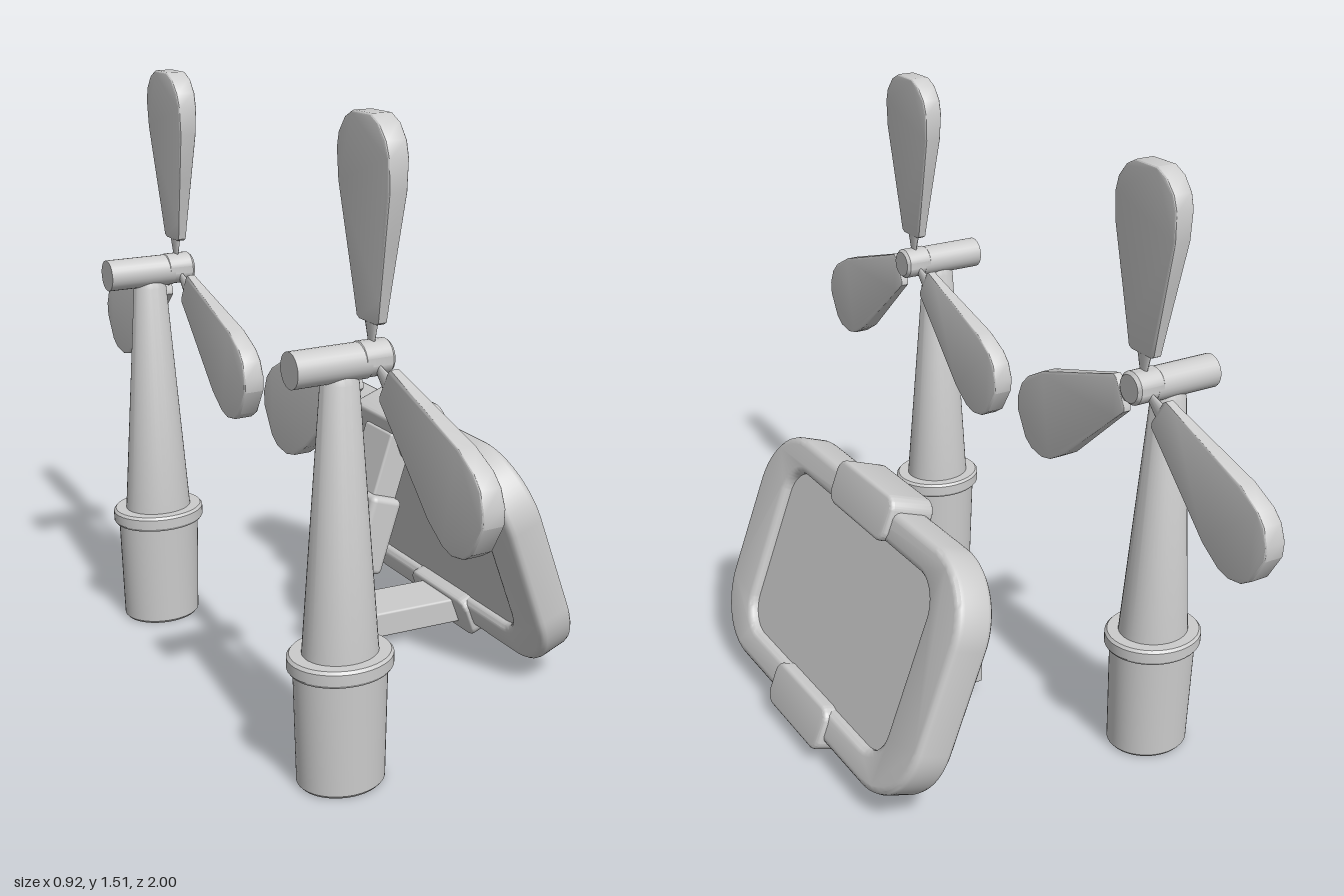
import * as THREE from 'three';
import { toCreasedNormals } from 'three/addons/utils/BufferGeometryUtils.js';
import { RoundedBoxGeometry } from 'three/addons/geometries/RoundedBoxGeometry.js';

const grey = new THREE.MeshStandardMaterial({ color: 0xcccccc });

function part(name, geometry, parent, x = 0, y = 0, z = 0) {
  const mesh = new THREE.Mesh(geometry, grey);
  mesh.name = name;
  mesh.position.set(x, y, z);
  parent.add(mesh);
  return mesh;
}

// Rounded rectangle outline centred on the origin
function roundedRect(target, w, h, r) {
  const x = w / 2, y = h / 2;
  target.moveTo(-x + r, -y);
  target.lineTo(x - r, -y);
  target.absarc(x - r, -y + r, r, -Math.PI / 2, 0);
  target.lineTo(x, y - r);
  target.absarc(x - r, y - r, r, 0, Math.PI / 2);
  target.lineTo(-x + r, y);
  target.absarc(-x + r, y - r, r, Math.PI / 2, Math.PI);
  target.lineTo(-x, -y + r);
  target.absarc(-x + r, -y + r, r, Math.PI, Math.PI * 1.5);
  return target;
}

// Bevelled extrusion whose total depth is t, centred on z = 0
function slab(shape, t, bevel) {
  const geometry = new THREE.ExtrudeGeometry(shape, {
    depth: t - 2 * bevel, bevelEnabled: true, bevelThickness: bevel,
    bevelSize: bevel, bevelOffset: -bevel, bevelSegments: 3, curveSegments: 10,
  });
  geometry.translate(0, 0, bevel - t / 2);
  return geometry;
}

// Paddle blade: grows wider and thicker towards the tip
function bladeGeometry() {
  const half = [[0.036, 0.08], [0.047, 0.086], [0.056, 0.13], [0.082, 0.25], [0.108, 0.37],
    [0.109, 0.44], [0.098, 0.475], [0.07, 0.508], [0.038, 0.524]];
  const outline = [...half, ...half.map(([x, y]) => [-x, y]).reverse()];
  const shape = new THREE.Shape(outline.map(([x, y]) => new THREE.Vector2(x, y)));
  const geometry = slab(shape, 0.055, 0.006);
  const p = geometry.attributes.position;
  for (let i = 0; i < p.count; i++) {
    const k = THREE.MathUtils.clamp((p.getY(i) - 0.08) / 0.42, 0, 1);
    p.setZ(i, p.getZ(i) * (0.4 + 0.6 * k));
  }
  return toCreasedNormals(geometry, 0.5);
}

function windTurbine(name, z) {
  const turbine = new THREE.Group();
  turbine.name = name;
  turbine.position.set(-0.335, 0, z);

  // Base pot, collar ring and tapering tower in one profile
  const profile = [[0, 0.008], [0.099, 0.008], [0.105, 0.015], [0.111, 0.29], [0.12, 0.29],
    [0.125, 0.297], [0.125, 0.323], [0.119, 0.33], [0.09, 0.33], [0.044, 0.955], [0.034, 0.975], [0, 0.98]];
  const tower = new THREE.LatheGeometry(profile.map(([r, y]) => new THREE.Vector2(r, y)), 40);
  part('tower', toCreasedNormals(tower, 0.5), turbine).scale.z = 0.88;

  // Nacelle lying along x, with a rounded hub at its front end
  const nacelle = new THREE.CylinderGeometry(0.041, 0.041, 0.18, 28);
  part('nacelle', nacelle, turbine, -0.03, 0.996, 0).rotation.z = Math.PI / 2;
  const hubProfile = [[0, -0.04], [0.036, -0.04], [0.041, -0.034], [0.041, 0.03], [0.034, 0.038], [0, 0.038]];
  const hub = new THREE.LatheGeometry(hubProfile.map(([r, y]) => new THREE.Vector2(r, y)), 28);
  part('hub', toCreasedNormals(hub, 0.5), turbine, 0.08, 0.998, 0).rotation.z = -Math.PI / 2;

  // Three blades on short necks, facing +x
  const rotor = new THREE.Group();
  rotor.name = 'rotor';
  rotor.position.set(0.078, 0.998, 0);
  rotor.rotation.y = Math.PI / 2;
  turbine.add(rotor);
  const blade = bladeGeometry();
  const neck = new THREE.CylinderGeometry(0.026, 0.011, 0.06, 12);
  for (let i = 0; i < 3; i++) {
    const arm = new THREE.Group();
    arm.name = 'bladeArm';
    arm.rotation.z = (i * Math.PI * 2) / 3;
    part('blade', blade, arm);
    part('bladeNeck', neck, arm, 0, 0.06, 0).scale.z = 0.4;
    rotor.add(arm);
  }
  return turbine;
}

// A box whose long side runs between two points in the xy plane
function strut(name, parent, a, b, thick, width, r) {
  const dx = b[0] - a[0], dy = b[1] - a[1];
  const geometry = new RoundedBoxGeometry(Math.hypot(dx, dy), thick, width, 3, r);
  part(name, geometry, parent, (a[0] + b[0]) / 2, (a[1] + b[1]) / 2, 0).rotation.z = Math.atan2(dy, dx);
}

function solarPanel() {
  const solar = new THREE.Group();
  solar.name = 'solarPanel';
  solar.position.z = -0.08;

  // Tilted head: local z is the panel normal, local y runs up the slope
  const head = new THREE.Group();
  head.name = 'panelHead';
  head.position.set(0.284, 0.349, 0);
  head.rotation.set(0, Math.PI / 2, THREE.MathUtils.degToRad(20), 'ZYX');
  solar.add(head);

  const frame = roundedRect(new THREE.Shape(), 1.027, 0.625, 0.18);
  frame.holes.push(roundedRect(new THREE.Path(), 0.75, 0.46, 0.08));
  part('panelFrame', toCreasedNormals(slab(frame, 0.102, 0.018), 0.6), head);
  part('panelPlate', new THREE.BoxGeometry(0.79, 0.5, 0.055), head);

  // Clamps gripping the upper and lower edges
  const clamp = toCreasedNormals(slab(roundedRect(new THREE.Shape(), 0.285, 0.118, 0.035), 0.126, 0.01), 0.6);
  for (const side of [1, -1]) part(side > 0 ? 'upperClamp' : 'lowerClamp', clamp, head, 0, side * 0.285, 0);

  // Folding stand: foot bar, rear leg and its sleeve
  strut('footBar', solar, [-0.073, 0.083], [0.36, 0.066], 0.07, 0.155, 0.006);
  strut('rearLeg', solar, [-0.022, 0.08], [0.15, 0.6], 0.072, 0.135, 0.006);
  strut('legSleeve', solar, [0.028, 0.243], [0.094, 0.443], 0.093, 0.19, 0.016);
  return solar;
}

export function createModel() {
  const model = new THREE.Group();
  model.name = 'renewableEnergySet';
  model.add(windTurbine('frontTurbine', 0.525), windTurbine('rearTurbine', -0.53), solarPanel());
  return model;
}
